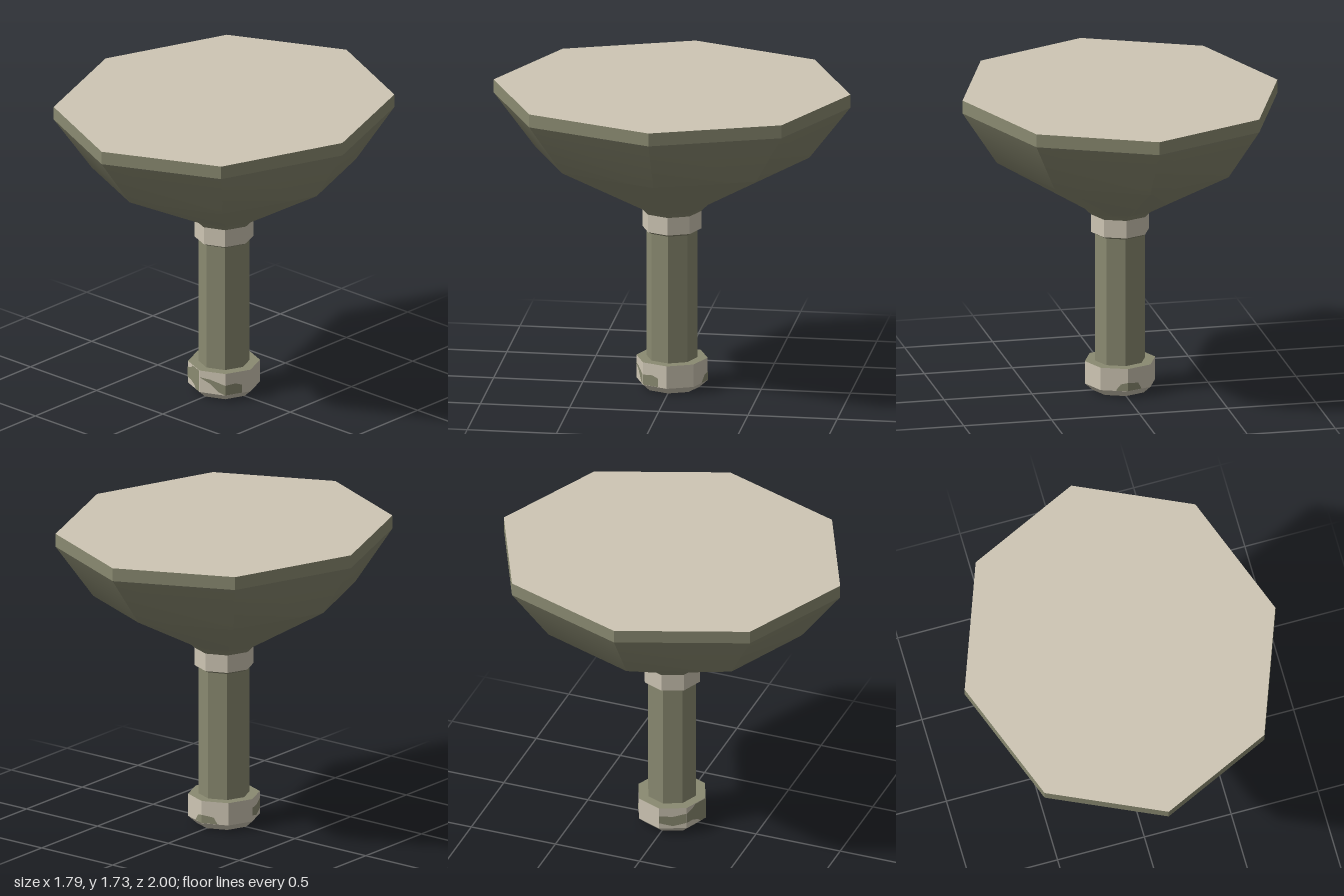
import * as THREE from 'three';
import { toCreasedNormals } from 'three/addons/utils/BufferGeometryUtils.js';

const SIDES = 8;

export function createModel() {
  const model = new THREE.Group();
  model.name = 'pedestalBowl';

  const olive = new THREE.MeshStandardMaterial({ name: 'olive', color: 0x8a8a71 });
  const beige = new THREE.MeshStandardMaterial({ name: 'beige', color: 0xcec6b4 });

  // Eight-sided ring surface; each profile row is [x radius, y, z radius]
  function ring(name, rows, material, crease = 0.52) {
    const lathe = new THREE.LatheGeometry(rows.map(([r, y]) => new THREE.Vector2(r, y)), SIDES);
    const pos = lathe.attributes.position;
    for (let i = 0; i < pos.count; i++) {
      const [r, , rz = r] = rows[i % rows.length];
      if (r > 0) pos.setZ(i, pos.getZ(i) * rz / r);
    }
    const mesh = new THREE.Mesh(toCreasedNormals(lathe, crease), material);
    mesh.name = name;
    model.add(mesh);
  }

  // Bowl: creased facets that soften toward the stem
  ring('bowl', [
    [0.165, 1.02], [0.2, 1.055], [0.7, 1.355, 0.77],
    [0.895, 1.655, 1], [0.895, 1.73, 1],
  ], olive);
  ring('bowlTop', [[0.895, 1.73, 1], [0, 1.73]], beige);

  // Stem and collar
  ring('stem', [[0.142, 0.17], [0.142, 0.905]], olive);
  ring('collarBevel', [[0.142, 0.905], [0.165, 0.918]], olive);
  ring('collar', [[0.165, 0.918], [0.165, 1.02]], beige);

  // Hollow foot
  ring('footTop', [[0.2, 0.17], [0.142, 0.17]], olive);
  ring('footWall', [[0.2, 0.04], [0.2, 0.17]], beige);
  ring('footBevel', [[0.155, 0], [0.2, 0.04]], beige);
  ring('footInnerWall', [[0.152, 0.13], [0.152, 0], [0.155, 0]], beige);
  ring('footCeiling', [[0, 0.13], [0.152, 0.13]], olive);

  // Painted patches: [side of the foot, outline as (fraction across, height)]
  const patches = [
    [0, [[0, 0.13], [0.4, 0.125], [1, 0.1], [1, 0.042], [0.75, 0.055], [0.4, 0.1]]],
    [1, [[0, 0.1], [0.4, 0.105], [0.65, 0.09], [0.65, 0.042], [0, 0.042]]],
    [3, [[0.55, 0.042], [1, 0.042], [1, 0.09], [0.75, 0.08]]],
    [4, [[0, 0.042], [0.6, 0.042], [0.45, 0.08], [0, 0.09]]],
    [6, [[0, 0.12], [0.5, 0.115], [1, 0.135], [1, 0.075], [0.5, 0.055], [0, 0.075]]],
    [7, [[0, 0.135], [0.3, 0.15], [0.45, 0.168], [1, 0.168], [1, 0.042], [0.7, 0.042],
      [0.6, 0.06], [0.3, 0.075], [0, 0.075]]],
  ];
  const width = 2 * 0.2 * Math.sin(Math.PI / SIDES);
  const apothem = 0.2 * Math.cos(Math.PI / SIDES);
  for (const [side, outline] of patches) {
    const shape = new THREE.Shape(outline.map(([u, y]) => new THREE.Vector2((u - 0.5) * width, y)));
    const patch = new THREE.Mesh(new THREE.ShapeGeometry(shape), olive);
    patch.geometry.translate(0, 0, apothem + 0.002);
    patch.rotation.y = (side + 0.5) * 2 * Math.PI / SIDES;
    patch.name = 'footPatch';
    model.add(patch);
  }

  return model;
}
